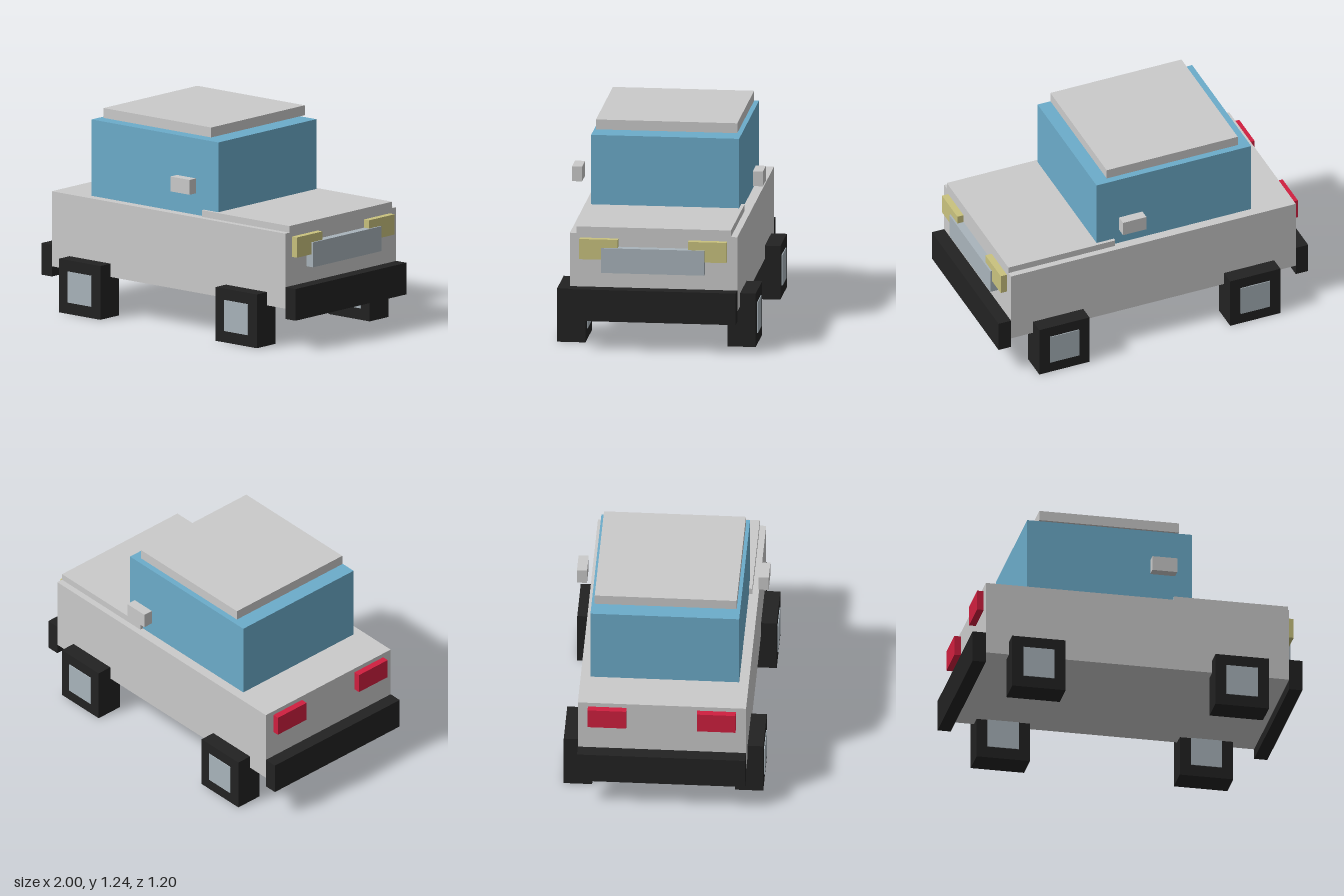
import * as THREE from 'three';

const mat = (name, color) => {
  const m = new THREE.MeshStandardMaterial({ color });
  m.name = name;
  return m;
};

export function createModel() {
  const car = new THREE.Group();
  car.name = 'car';

  const paint = mat('light grey paint', 0xcacaca);
  const glass = mat('blue glass', 0x6cacca);
  const rubber = mat('black rubber', 0x222222);
  const metal = mat('blue grey metal', 0xa9b4bb);
  const lamp = mat('pale yellow lamp', 0xc9c27e);
  const red = mat('red lamp', 0xd01f3f);

  // Box given by its limits along each axis
  const box = (name, material, [x0, x1], [y0, y1], [z0, z1]) => {
    const mesh = new THREE.Mesh(new THREE.BoxGeometry(x1 - x0, y1 - y0, z1 - z0), material);
    mesh.position.set((x0 + x1) / 2, (y0 + y1) / 2, (z0 + z1) / 2);
    mesh.name = name;
    car.add(mesh);
  };
  // The same box on both sides of the car
  const pair = (name, material, x, y, [z0, z1]) => {
    box(name + 'Near', material, x, y, [z0, z1]);
    box(name + 'Far', material, x, y, [-z1, -z0]);
  };

  // Shell
  box('body', paint, [-0.92, 0.92], [0.245, 0.7], [-0.5, 0.5]);
  box('hood', paint, [0.23, 0.92], [0.7, 0.74], [-0.462, 0.462]);
  box('cabin', glass, [-0.657, 0.342], [0.7, 1.163], [-0.442, 0.442]);
  box('roof', paint, [-0.579, 0.268], [1.18, 1.24], [-0.422, 0.422]);

  // Front and rear fittings
  box('frontBumper', rubber, [0.92, 1], [0.183, 0.375], [-0.5, 0.5]);
  box('rearBumper', rubber, [-1, -0.92], [0.183, 0.375], [-0.5, 0.5]);
  box('grille', metal, [0.92, 0.97], [0.472, 0.623], [-0.308, 0.308]);
  pair('headlight', lamp, [0.92, 0.96], [0.55, 0.673], [0.21, 0.44]);
  pair('tailLight', red, [-0.96, -0.92], [0.55, 0.673], [0.21, 0.44]);
  pair('mirror', paint, [0.075, 0.226], [0.85, 0.94], [0.51, 0.57]);

  // Square wheels, with hubs showing on both faces
  for (const [end, x] of [['front', 0.615], ['rear', -0.618]]) {
    pair(end + 'Wheel', rubber, [x - 0.162, x + 0.162], [0, 0.326], [0.424, 0.593]);
    pair(end + 'Hub', metal, [x - 0.094, x + 0.094], [0.07, 0.258], [0.419, 0.598]);
  }
  return car;
}
